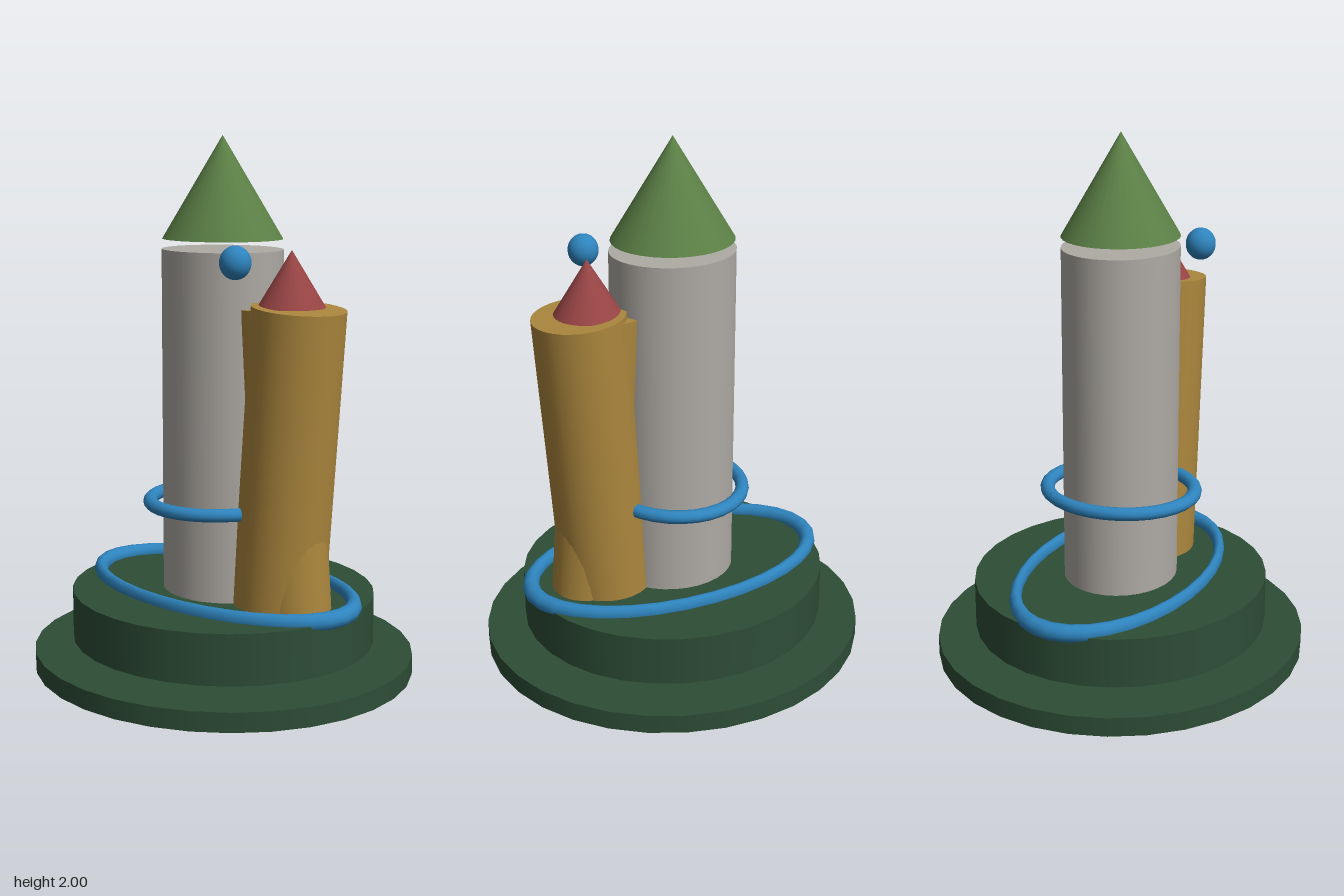
import * as THREE from 'three';

const mat = (name, color) => {
  const m = new THREE.MeshStandardMaterial({ color });
  m.name = name;
  return m;
};

export function createModel() {
  const group = new THREE.Group();
  const darkGreen = mat('dark green', 0x2d4d36);
  const leafGreen = mat('leaf green', 0x5b8046);
  const grey = mat('stone grey', 0xaeaaa4);
  const gold = mat('gold', 0xab863d);
  const red = mat('brick red', 0x984444);
  const blue = mat('blue', 0x2e84be);

  const add = (name, geometry, material, x, y, z = 0) => {
    const mesh = new THREE.Mesh(geometry, material);
    mesh.name = name;
    mesh.position.set(x, y, z);
    group.add(mesh);
    return mesh;
  };

  // Upright, slightly oval column or cone between two heights
  const column = (name, material, x, y0, y1, rx, rz, topScale = 1) => {
    const g = topScale
      ? new THREE.CylinderGeometry(topScale, 1, y1 - y0, 32)
      : new THREE.ConeGeometry(1, y1 - y0, 32);
    return add(name, g.scale(rx, 1, rz), material, x, (y0 + y1) / 2);
  };

  // Column leaning between two centre points in the x-y plane
  const leaning = (name, material, x0, y0, x1, y1, rx, rz) => {
    const length = Math.hypot(x1 - x0, y1 - y0);
    const g = new THREE.CylinderGeometry(1, 1, length, 32).scale(rx, 1, rz);
    const mesh = add(name, g, material, (x0 + x1) / 2, (y0 + y1) / 2);
    mesh.rotation.z = -Math.atan2(x1 - x0, y1 - y0);
    return mesh;
  };

  // Flat oval ring
  const ring = (name, y, rx, rz, tube) => {
    const g = new THREE.TorusGeometry(rx, tube, 12, 32).rotateX(Math.PI / 2);
    return add(name, g.scale(1, 1, rz / rx), blue, 0, y);
  };

  // Stepped base
  column('lowerBase', darkGreen, 0, 0, 0.073, 0.738, 0.704);
  column('upperBase', darkGreen, 0, 0.11, 0.3, 0.588, 0.559);

  // Main tower with its floating roof
  column('tower', grey, 0, 0.295, 1.587, 0.236, 0.214);
  column('towerRoof', leafGreen, 0, 1.625, 2, 0.229, 0.216, 0);

  // Two crossed side turrets and their roof
  leaning('sideTurret', gold, 0.288, 0.28, 0.376, 1.397, 0.172, 0.17);
  leaning('crossedTurret', gold, 0.364, 0.29, 0.275, 1.39, 0.14, 0.133);
  column('turretRoof', red, 0.34, 1.397, 1.6, 0.124, 0.121, 0);

  // Rings and ball
  ring('baseRing', 0.307, 0.587, 0.337, 0.033);
  ring('towerRing', 0.645, 0.26, 0.286, 0.025);
  add('ball', new THREE.SphereGeometry(1, 24, 16).scale(0.057, 0.06, 0.056), blue, 0.26, 1.562, 0.206);

  return group;
}
